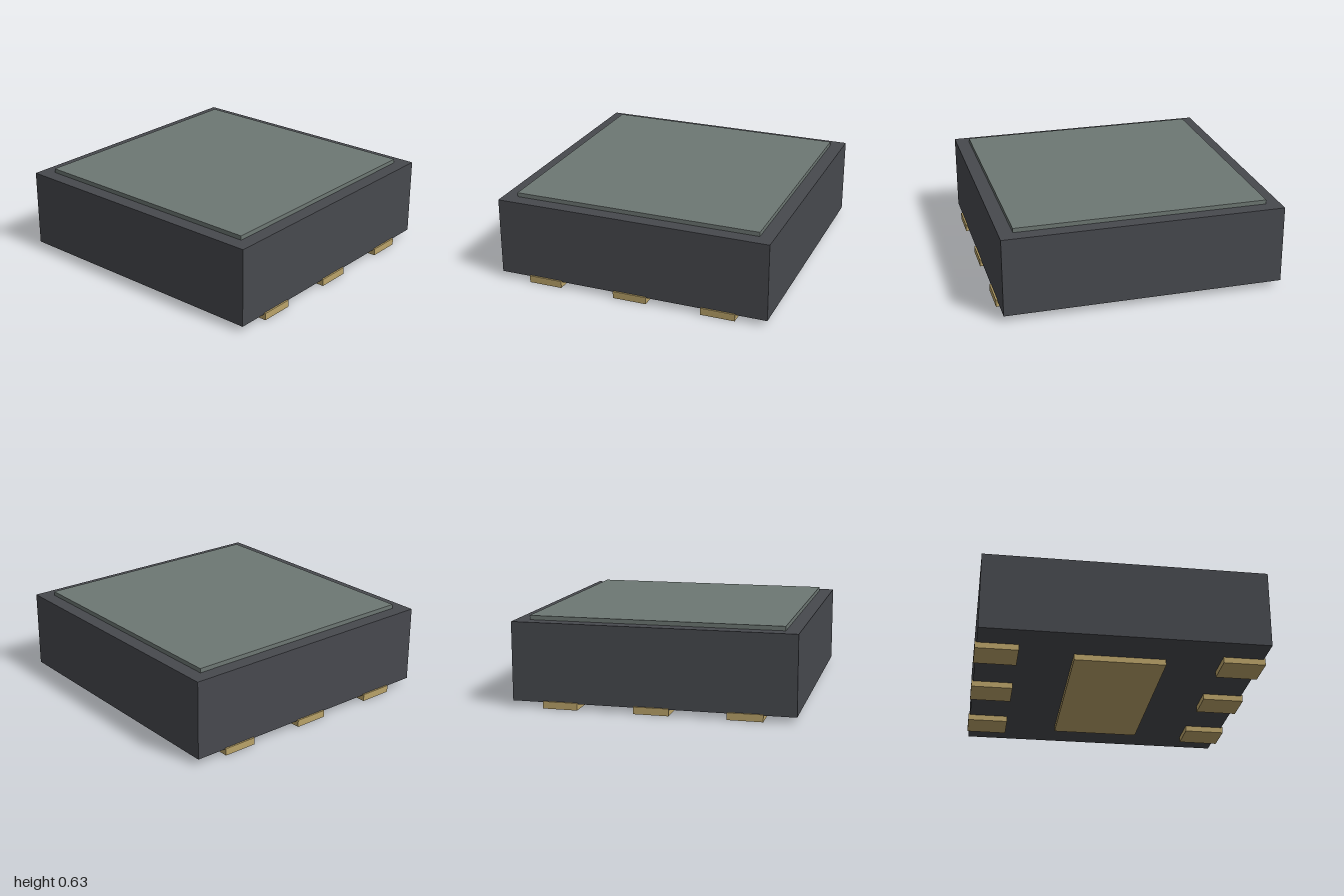
import * as THREE from 'three';

const material = (name, color) => {
  const m = new THREE.MeshStandardMaterial({ color });
  m.name = name;
  return m;
};

export function createModel() {
  const charcoal = material('charcoal', 0x47494e);
  const greyGreen = material('grey green', 0x6d7773);
  const gold = material('gold', 0xbaa369);

  const group = new THREE.Group();
  group.name = 'chipPackage';

  // Box given by its size, its centre in x and z, and its bottom height
  const addBox = (name, mat, [w, h, d], [x, bottom, z]) => {
    const mesh = new THREE.Mesh(new THREE.BoxGeometry(w, h, d), mat);
    mesh.name = name;
    mesh.position.set(x, bottom + h / 2, z);
    group.add(mesh);
  };

  // Package body and the thin raised lid
  addBox('body', charcoal, [1.976, 0.554, 1.976], [0, 0.042, 0]);
  addBox('lid', greyGreen, [1.778, 0.03, 1.778], [0, 0.596, 0]);

  // Large pad under the middle
  addBox('centrePad', gold, [0.64, 0.05, 1.34], [0, 0, 0]);

  // Three contact pads along each side, poking slightly past the body
  for (const side of [-1, 1]) {
    for (const row of [-1, 0, 1]) {
      addBox(side > 0 ? 'leftContactPad' : 'rightContactPad', gold,
        [0.296, 0.05, 0.246], [side * 0.852, 0, row * 0.643]);
    }
  }
  return group;
}
